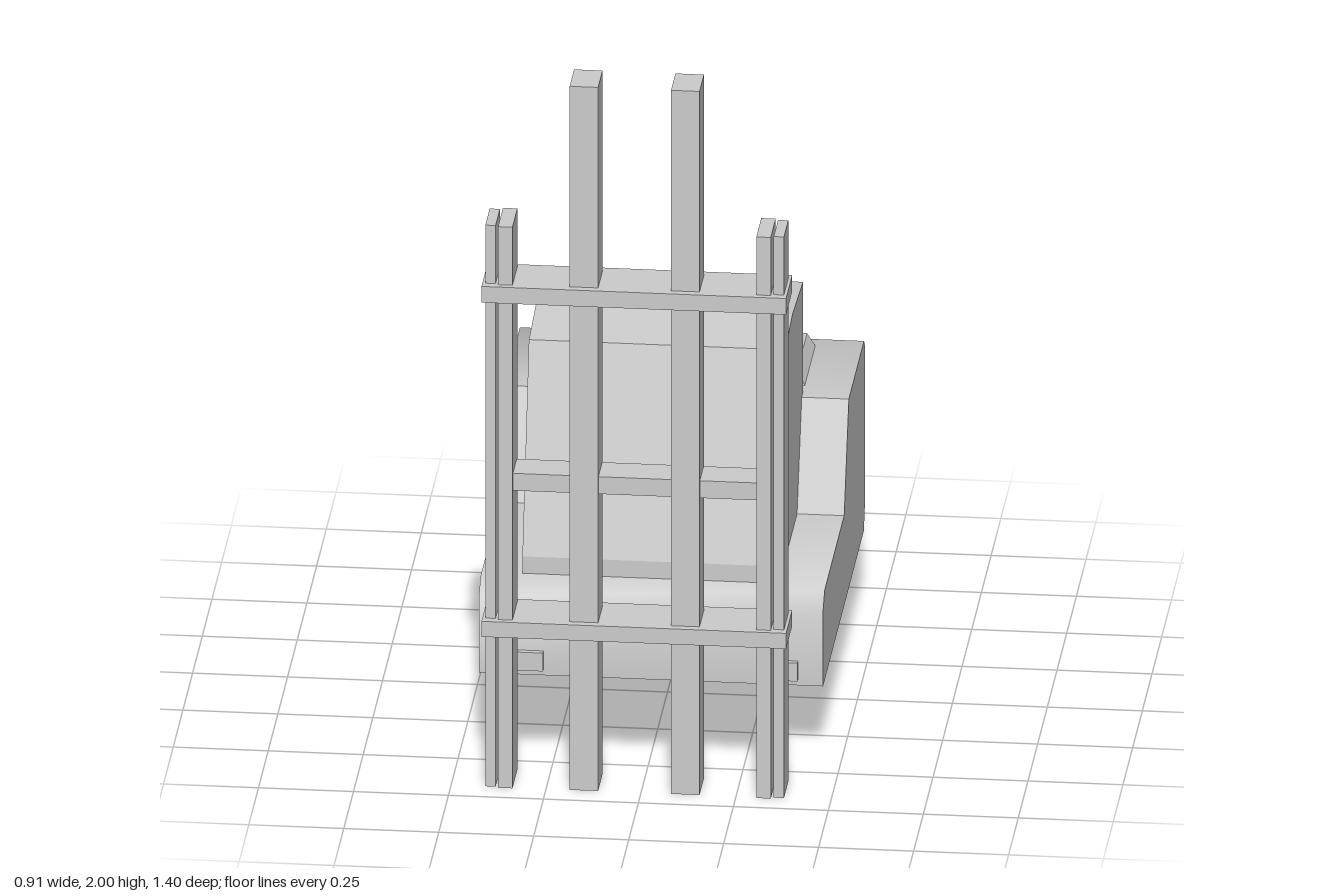
import * as THREE from 'three';
import { toCreasedNormals } from 'three/addons/utils/BufferGeometryUtils.js';

const material = new THREE.MeshStandardMaterial({ color: 0xcccccc });

export function createModel() {
  const model = new THREE.Group();

  const add = (name, geometry, parent = model) => {
    const mesh = new THREE.Mesh(geometry, material);
    mesh.name = name;
    parent.add(mesh);
    return mesh;
  };
  const group = (name) => {
    const g = new THREE.Group();
    g.name = name;
    model.add(g);
    return g;
  };
  // Box given by its limits on each axis
  const box = (x0, x1, y0, y1, z0, z1) =>
    new THREE.BoxGeometry(x1 - x0, y1 - y0, z1 - z0)
      .translate((x0 + x1) / 2, (y0 + y1) / 2, (z0 + z1) / 2);
  // Side profile of [z, y] points, swept across the width from x0 to x1
  const sweep = (points, x0, x1) => {
    const shape = new THREE.Shape(points.map(([z, y]) => new THREE.Vector2(z, y)));
    return new THREE.ExtrudeGeometry(shape, { depth: x1 - x0, bevelEnabled: false })
      .rotateY(-Math.PI / 2).translate(x1, 0, 0);
  };

  // Chassis with raised rear hood; soft shading over the chamfers
  const chassis = sweep([
    [0.415, 0.21], [0.415, 0.425], [0.373, 0.466], [-0.13, 0.466], [-0.25, 0.747],
    [-0.643, 0.747], [-0.67, 0.72], [-0.67, 0.286], [-0.638, 0.21],
  ], -0.454, 0.452);
  add('chassis', toCreasedNormals(chassis, 0.9));

  // Closed cab with sloping windscreen and ridged roof
  add('cab', sweep([
    [0.341, 0.45], [0.341, 0.514], [0.174, 1.06], [-0.012, 1.083],
    [-0.285, 1.06], [-0.285, 0.45],
  ], -0.347, 0.328));

  // Hood panel: a box whose top face is drawn in
  const panel = box(-0.358, 0.332, 0.74, 0.784, -0.6, -0.328);
  const p = panel.attributes.position;
  for (let i = 0; i < p.count; i++) {
    if (p.getY(i) < 0.77) continue;
    p.setX(i, p.getX(i) < 0 ? -0.331 : 0.307);
    p.setZ(i, p.getZ(i) < -0.5 ? -0.593 : -0.341);
  }
  panel.computeVertexNormals();
  add('hoodPanel', panel);

  // Rear grille slats with bevelled edges
  const grille = group('rearGrille');
  for (let i = 0; i < 3; i++) {
    const y = 0.626 - i * 0.125;
    add('grilleSlat', sweep([
      [-0.66, y - 0.048], [-0.67, y - 0.048], [-0.701, y - 0.027],
      [-0.701, y + 0.027], [-0.67, y + 0.048], [-0.66, y + 0.048],
    ], -0.416, 0.408), grille);
  }

  // Headlights low on the nose
  add('rightHeadlight', box(-0.391, -0.284, 0.227, 0.279, 0.4, 0.43));
  add('leftHeadlight', box(0.29, 0.386, 0.227, 0.279, 0.4, 0.43));

  // Mast: paired side rails, tall centre rails and cross bars
  const mast = group('mast');
  const middle = -0.017;
  for (const side of [-1, 1]) {
    const rail = (name, inner, outer, top, z0, z1) => {
      const a = middle + side * inner, b = middle + side * outer;
      add(name, box(Math.min(a, b), Math.max(a, b), 0, top, z0, z1), mast);
    };
    rail('outerRail', 0.366, 0.393, 1.595, 0.567, 0.679);
    rail('sideRail', 0.321, 0.359, 1.595, 0.559, 0.686);
    rail('centreRail', 0.096, 0.171, 2, 0.567, 0.681);
  }
  add('lowerCrossBar', box(-0.418, 0.384, 0.434, 0.478, 0.544, 0.702), mast);
  add('middleCrossBar', box(-0.345, 0.311, 0.841, 0.89, 0.575, 0.673), mast);
  add('upperCrossBar', box(-0.418, 0.384, 1.384, 1.43, 0.544, 0.702), mast);

  return model;
}
